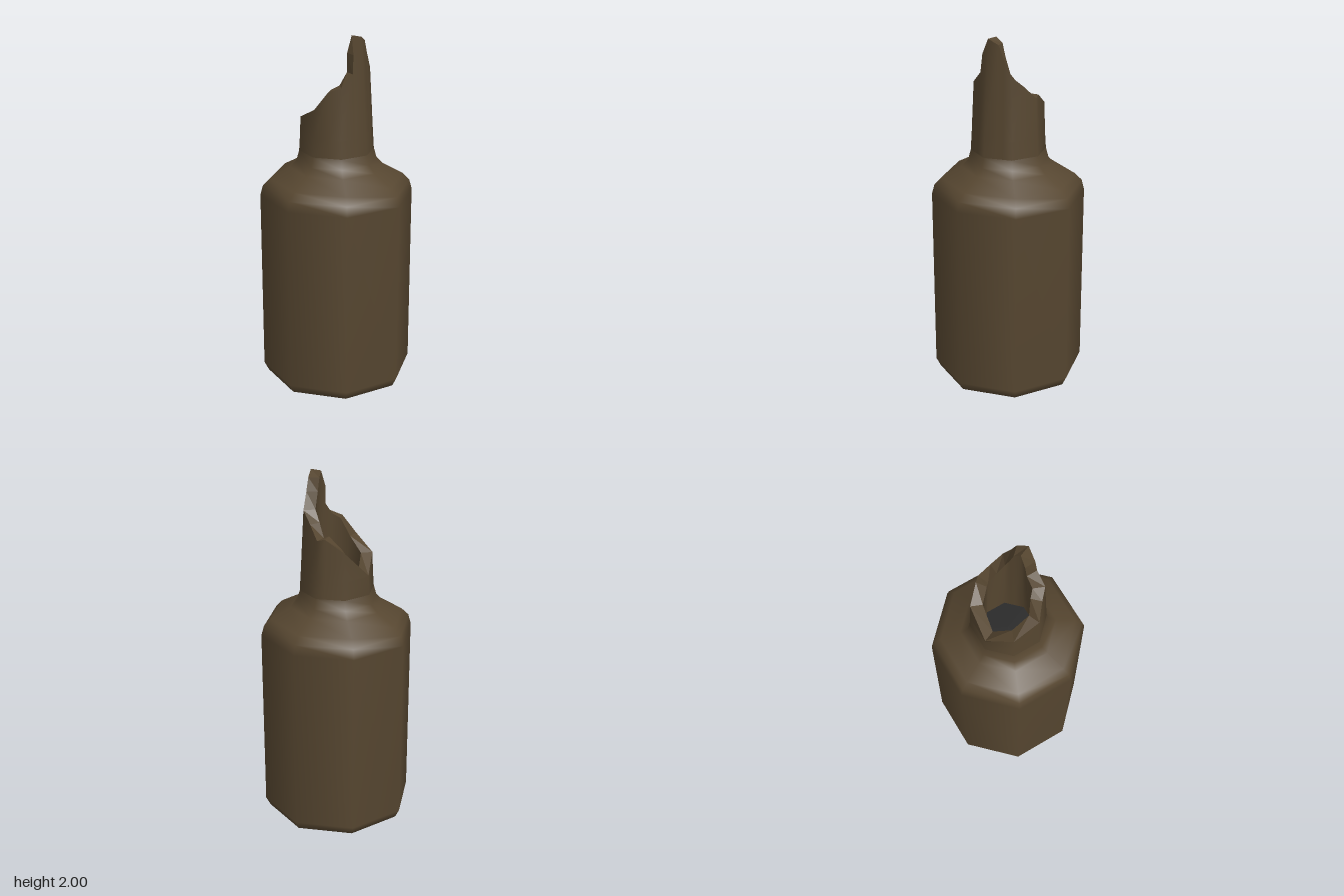
import * as THREE from 'three';

const brown = new THREE.MeshStandardMaterial({ color: 0x564630 });
brown.name = 'brown glass';
const dark = new THREE.MeshStandardMaterial({ color: 0x222222 });
dark.name = 'dark hollow';

// Broken edge of the neck: [angle in degrees from the front towards +x, height]
const EDGE = [
  [0, 2.0], [21, 1.97], [31, 1.9], [45, 1.81], [68, 1.75], [90, 1.68], [102, 1.69],
  [135, 1.62], [180, 1.47], [225, 1.55], [270, 1.62], [293, 1.72], [315, 1.745],
  [338, 1.81], [341, 1.91],
];
const NECK = [[1.36, 0.207], [1.47, 0.2], [1.65, 0.195], [2.0, 0.165]];
const WALL = 0.065;

// Neck radius at a height
function neckRadius(y) {
  for (let i = 1; i < NECK.length; i++) {
    const [y0, r0] = NECK[i - 1];
    const [y1, r1] = NECK[i];
    if (y <= y1) return THREE.MathUtils.mapLinear(y, y0, y1, r0, r1);
  }
  return NECK[NECK.length - 1][1];
}

// Point on an eight-sided ring
function ringPoint(deg, radius, y) {
  const off = THREE.MathUtils.degToRad((deg % 45) - 22.5);
  const r = radius * Math.cos(Math.PI / 8) / Math.cos(off);
  const a = THREE.MathUtils.degToRad(deg);
  return [Math.sin(a) * r, y, Math.cos(a) * r];
}

const ring = (radiusAt, heightAt) => EDGE.map(([deg, top]) => {
  const y = heightAt(top);
  return ringPoint(deg, radiusAt(y, top), y);
});

// Closed skin through a list of rings
function skin(name, rings, flat = false) {
  const n = EDGE.length;
  const index = [];
  for (let k = 0; k < rings.length - 1; k++) {
    for (let i = 0; i < n; i++) {
      const j = (i + 1) % n;
      const a = k * n + i, b = k * n + j, c = a + n, d = b + n;
      index.push(a, b, d, a, d, c);
    }
  }
  let geo = new THREE.BufferGeometry();
  geo.setAttribute('position', new THREE.Float32BufferAttribute(rings.flat(2), 3));
  geo.setIndex(index);
  if (flat) geo = geo.toNonIndexed();
  geo.computeVertexNormals();
  const mesh = new THREE.Mesh(geo, brown);
  mesh.name = name;
  return mesh;
}

export function createModel() {
  const model = new THREE.Group();
  model.name = 'brokenBottle';

  // Eight-sided body with rounded foot and shoulder
  const profile = [
    [0, 0], [0.35, 0], [0.4, 0.025], [0.425, 0.075], [0.425, 1.11], [0.41, 1.165],
    [0.37, 1.205], [0.26, 1.265], [0.222, 1.305], [0.207, 1.36],
  ].map(([r, y]) => new THREE.Vector2(r, y));
  const body = new THREE.Mesh(new THREE.LatheGeometry(profile, 8), brown);
  body.name = 'body';
  model.add(body);

  // Jagged neck: outside, broken edge and inside
  const outerEdge = ring(neckRadius, (top) => top);
  const innerEdge = ring((y) => neckRadius(y) - WALL, (top) => top);
  const innerFoot = ring(() => 0.142, () => 1.25);
  model.add(
    skin('neck', [ring(neckRadius, () => 1.36), ring(neckRadius, () => 1.46), outerEdge]),
    skin('brokenEdge', [outerEdge, innerEdge], true),
    skin('neckInside', [innerEdge, innerFoot]),
  );

  // Dark hollow seen down the neck
  const hollow = new THREE.Mesh(new THREE.CircleGeometry(0.145, 8), dark);
  hollow.name = 'hollow';
  hollow.rotation.x = -Math.PI / 2;
  hollow.position.y = 1.255;
  model.add(hollow);

  return model;
}
